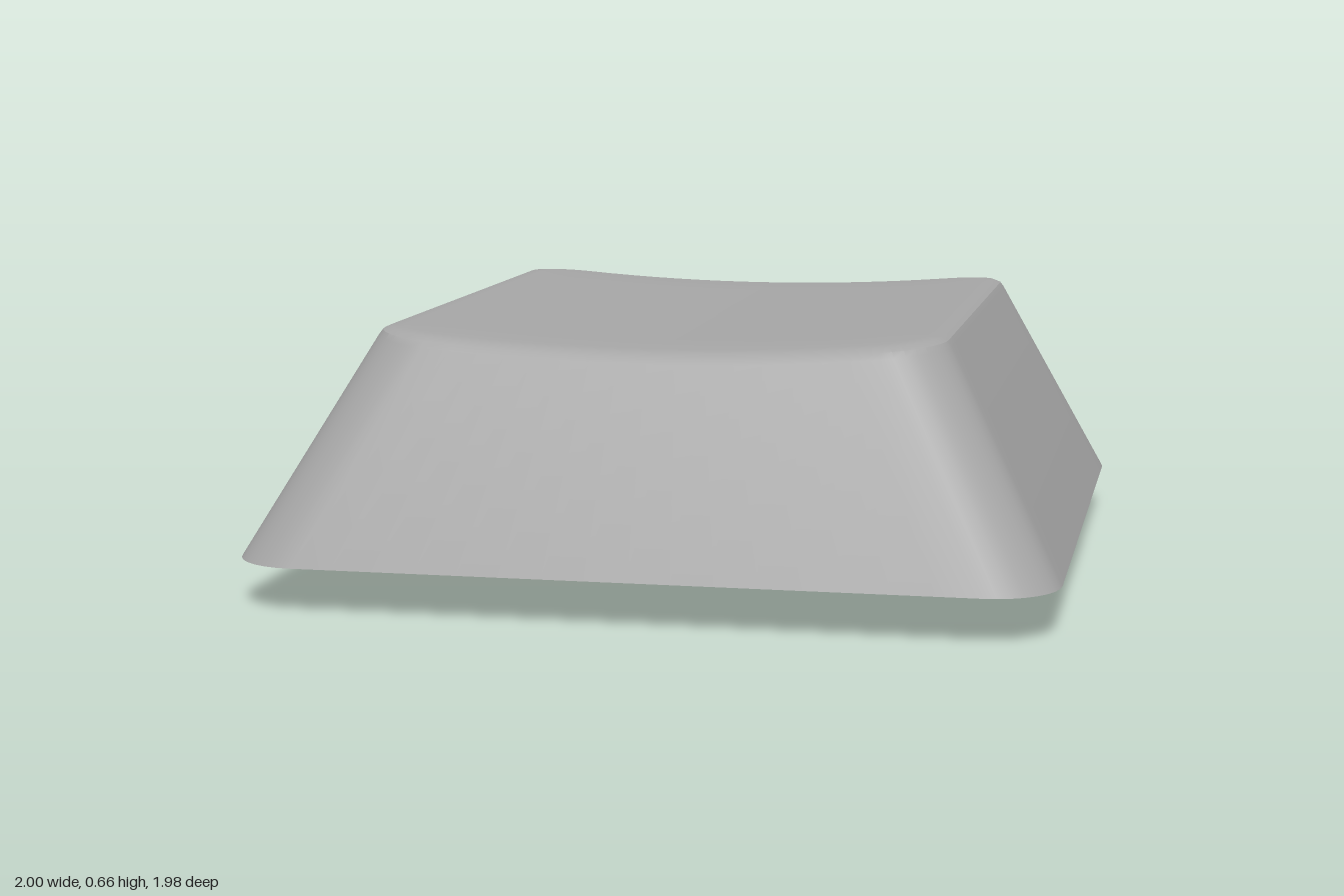
import * as THREE from 'three';
import { toCreasedNormals } from 'three/addons/utils/BufferGeometryUtils.js';

const CORNER = 8, EDGE = 16;
const CEILING = 0.55;
const TOP = { hw: 0.712, front: 0.755, back: 0.895, r: 0.15 };

// Rounded rectangle as a loop of [x, z], from +x towards +z, with subdivided straight edges
function loop(hw, front, back, r) {
  const corners = [[1, front - r], [-1, front - r], [-1, r - back], [1, r - back]];
  const arcs = corners.map(([s, cz], c) => Array.from({ length: CORNER + 1 }, (_, i) => {
    const a = (c + i / CORNER) * Math.PI / 2;
    return [s * (hw - r) + r * Math.cos(a), cz + r * Math.sin(a)];
  }));
  return arcs.flatMap((arc, c) => {
    const a = arc[CORNER], b = arcs[(c + 1) % 4][0], pts = [...arc];
    for (let i = 1; i < EDGE; i++) {
      const t = i / EDGE;
      pts.push([a[0] + (b[0] - a[0]) * t, a[1] + (b[1] - a[1]) * t]);
    }
    return pts;
  });
}

// Level cross-section
const flat = (y, hw, front, back, r) => loop(hw, front, back, r).map(([x, z]) => [x, y, z]);

// Cross-section that follows the cylindrical dish of the top
function dished(inset, drop, scale = 1) {
  const { hw, front, back, r } = TOP;
  return loop(hw - inset, front - inset, back - inset, r - inset * 0.6).map(([x, z]) => {
    x *= scale;
    const y = 0.63 - drop + 0.08 * x * x;
    // where the edge dips, it lies further out on the sloping wall
    const lean = (0.665 - drop - y) * (z > 0 ? 0.45 * z / front : 0.19 * z / back);
    return [x, y, (z + lean) * scale];
  });
}

// Skin a list of equal cross-sections; the first and last are single points
function loft(rings) {
  const n = rings[0].length, index = [];
  for (let i = 0; i < rings.length - 1; i++) {
    for (let j = 0; j < n; j++) {
      const a = i * n + j, b = i * n + (j + 1) % n, c = a + n, d = b + n;
      if (i > 0) index.push(a, c, b);
      if (i < rings.length - 2) index.push(b, c, d);
    }
  }
  const g = new THREE.BufferGeometry();
  g.setAttribute('position', new THREE.Float32BufferAttribute(rings.flat(2), 3));
  g.setIndex(index);
  return toCreasedNormals(g, 0.5);
}

export function createModel() {
  const group = new THREE.Group();
  const material = new THREE.MeshStandardMaterial({ color: 0xa5a5a5 });
  const add = (name, geometry) => {
    const mesh = new THREE.Mesh(geometry, material);
    mesh.name = name;
    group.add(mesh);
  };

  // Hollow cap: ceiling, inner walls, chamfered rim, outer walls, rounded edge, dished top
  const ceiling = flat(CEILING, 0.6, 0.655, 0.75, 0.06);
  add('capShell', loft([
    ceiling.map(() => [0, CEILING, 0]),
    ceiling,
    flat(0.28, 0.78, 0.78, 0.79, 0.06),
    flat(0.14, 0.8, 0.79, 0.79, 0.06),
    flat(0.12, 0.88, 0.87, 0.87, 0.09),
    flat(0.115, 0.88, 0.87, 0.87, 0.09),
    flat(0.115, 1, 0.99, 0.99, 0.17),
    dished(0, 0.03),
    dished(0.01, 0.015),
    dished(0.028, 0.005),
    dished(0.06, 0),
    ...[0.75, 0.5, 0.25, 0].map((s) => dished(0.06, 0, s)),
  ]));

  // Stem sleeve with a rounded lower edge
  const R = 0.303, f = 0.03;
  const profile = [];
  for (let i = 0; i <= 6; i++) {
    const a = i / 6 * Math.PI / 2;
    profile.push(new THREE.Vector2(R - f + f * Math.sin(a), f - f * Math.cos(a)));
  }
  profile.push(new THREE.Vector2(R, CEILING));
  add('stemSleeve', new THREE.LatheGeometry(profile, 64));

  // Stem core with the cross-shaped socket
  const L = 0.23, w = 0.078;
  const core = new THREE.Shape().absarc(0, 0, R - f, 0, Math.PI * 2);
  const cross = [[L, w], [w, w], [w, L], [-w, L], [-w, w], [-L, w],
    [-L, -w], [-w, -w], [-w, -L], [w, -L], [w, -w], [L, -w]];
  core.holes.push(new THREE.Path(cross.map(([x, y]) => new THREE.Vector2(x, y))));
  const socket = new THREE.ExtrudeGeometry(core, { depth: CEILING, bevelEnabled: false, curveSegments: 32 });
  add('stemSocket', socket.rotateX(-Math.PI / 2));

  return group;
}
